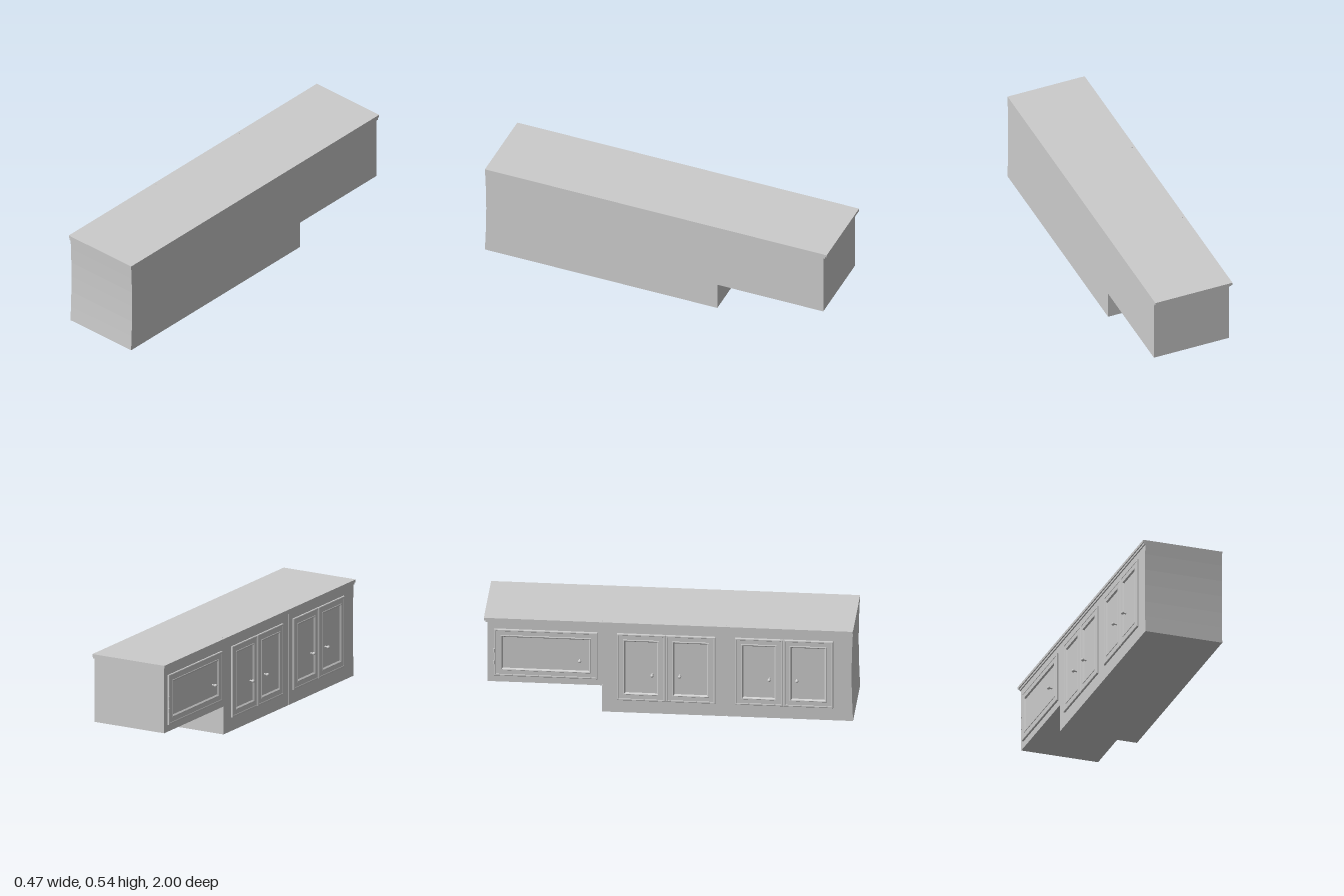
import * as THREE from 'three';

const material = new THREE.MeshStandardMaterial({ color: 0xcccccc, flatShading: true });
const smooth = new THREE.MeshStandardMaterial({ color: 0xcccccc });

const FACE = -0.205, BACK = 0.236, TOP = 0.542;
const STEP = 0.157;                 // underside of the raised cabinet
const Z0 = -0.98, Z1 = -0.36, Z2 = 0.315;

// Far end, scribed to a slightly bowed wall, from floor to top
const wallEnd = [[1, 0], [0.996, 0.09], [0.993, 0.18], [0.992, 0.28], [0.993, 0.37], [0.996, 0.46], [1, TOP]];

function add(parent, name, geometry, mat = material) {
  const mesh = new THREE.Mesh(geometry, mat);
  mesh.name = name;
  parent.add(mesh);
  return mesh;
}

// Side outline of [z, y] points, extruded from xMin to xMax
function slab(points, xMin, xMax) {
  const shape = new THREE.Shape(points.map(([z, y]) => new THREE.Vector2(z, y)));
  return new THREE.ExtrudeGeometry(shape, { depth: xMax - xMin, bevelEnabled: false })
    .rotateY(-Math.PI / 2).translate(xMax, 0, 0);
}

function box(xMin, xMax, yMin, yMax, zMin, zMax) {
  return new THREE.BoxGeometry(xMax - xMin, yMax - yMin, zMax - zMin)
    .translate((xMin + xMax) / 2, (yMin + yMax) / 2, (zMin + zMax) / 2);
}

// Panelled door: rectangular rings of [inset, x], closed by the recessed panel
function doorGeometry(z0, z1, y0, y1) {
  const profile = [[0, FACE], [0, -0.213], [0.003, -0.215], [0.009, -0.215], [0.011, -0.2135],
    [0.034, -0.2135], [0.036, -0.2155], [0.04, -0.2155], [0.047, -0.208]];
  const rings = profile.map(([d, x]) => [
    [x, y0 + d, z0 + d], [x, y0 + d, z1 - d], [x, y1 - d, z1 - d], [x, y1 - d, z0 + d]]);
  const positions = [];
  const quad = (a, b, c, d) => positions.push(...a, ...b, ...c, ...a, ...c, ...d);
  for (let r = 0; r < rings.length - 1; r++) {
    for (let i = 0; i < 4; i++) {
      const j = (i + 1) % 4;
      quad(rings[r][i], rings[r][j], rings[r + 1][j], rings[r + 1][i]);
    }
  }
  quad(...rings[rings.length - 1]);
  const geometry = new THREE.BufferGeometry();
  geometry.setAttribute('position', new THREE.Float32BufferAttribute(positions, 3));
  geometry.computeVertexNormals();
  return geometry;
}

// Round knob on a short stem, turned about an axis pointing out of the door
function knobGeometry() {
  const points = [[0.006, 0], [0.006, 0.002], [0.004, 0.003], [0.004, 0.012]];
  for (let i = 1; i <= 10; i++) {
    const a = 0.45 + (Math.PI - 0.45) * i / 10;
    points.push([0.009 * Math.sin(a), 0.02 - 0.009 * Math.cos(a)]);
  }
  return new THREE.LatheGeometry(points.map(([r, h]) => new THREE.Vector2(Math.max(r, 0), h)), 20)
    .rotateZ(Math.PI / 2);
}

export function createModel() {
  const group = new THREE.Group();
  group.name = 'cabinetRow';

  // Carcass with a raised section at the near end
  add(group, 'carcass', slab(
    [[Z0, STEP], [Z1, STEP], [Z1, 0], ...wallEnd, [Z0, TOP]], FACE + 0.008, BACK));

  // Face of each cabinet, with fine seams between them
  const g = 0.0015;
  add(group, 'raisedCabinetFace', slab(
    [[Z0, STEP], [Z1 - g, STEP], [Z1 - g, TOP], [Z0, TOP]], FACE, FACE + 0.008));
  add(group, 'middleCabinetFace', slab(
    [[Z1, 0], [Z2 - g, 0], [Z2 - g, TOP], [Z1 + g, TOP], [Z1 + g, STEP], [Z1, STEP]], FACE, FACE + 0.008));
  add(group, 'endCabinetFace', slab(
    [[Z2 + g, 0], ...wallEnd, [Z2 + g, TOP]], FACE, FACE + 0.008));

  // Stepped top moulding along the doors and round the free end
  const steps = [[0.013, 0.02, 0.527, TOP], [0.007, 0.011, 0.515, 0.527]];
  for (const [out, end, y0, y1] of steps) {
    add(group, 'frontMoulding', box(FACE - out, FACE, y0, y1, Z0 - end, 0.999));
    add(group, 'endMoulding', box(FACE, BACK, y0, y1, Z0 - end, Z0));
  }

  // Doors: z range, bottom, knob position
  const doors = [
    { z: [-0.945, -0.385], bottom: 0.196, knob: [-0.48, 0.307] },
    { z: [-0.28, -0.016], bottom: 0.076, knob: [-0.088, 0.237] },
    { z: [-0.014, 0.255], bottom: 0.076, knob: [0.062, 0.237] },
    { z: [0.36, 0.621], bottom: 0.076, knob: [0.547, 0.237] },
    { z: [0.623, 0.893], bottom: 0.076, knob: [0.697, 0.237] },
  ];
  for (const { z, bottom, knob } of doors) {
    const door = new THREE.Group();
    door.name = 'door';
    group.add(door);
    add(door, 'doorPanel', doorGeometry(z[0], z[1], bottom, 0.475));
    add(door, 'knob', knobGeometry(), smooth).position.set(-0.208, knob[1], knob[0]);
  }

  // Hinge barrels of the single door
  for (const y of [0.346, 0.276]) {
    add(group, 'hinge', new THREE.CylinderGeometry(0.005, 0.005, 0.023, 12), smooth)
      .position.set(-0.213, y, -0.945);
  }
  return group;
}
